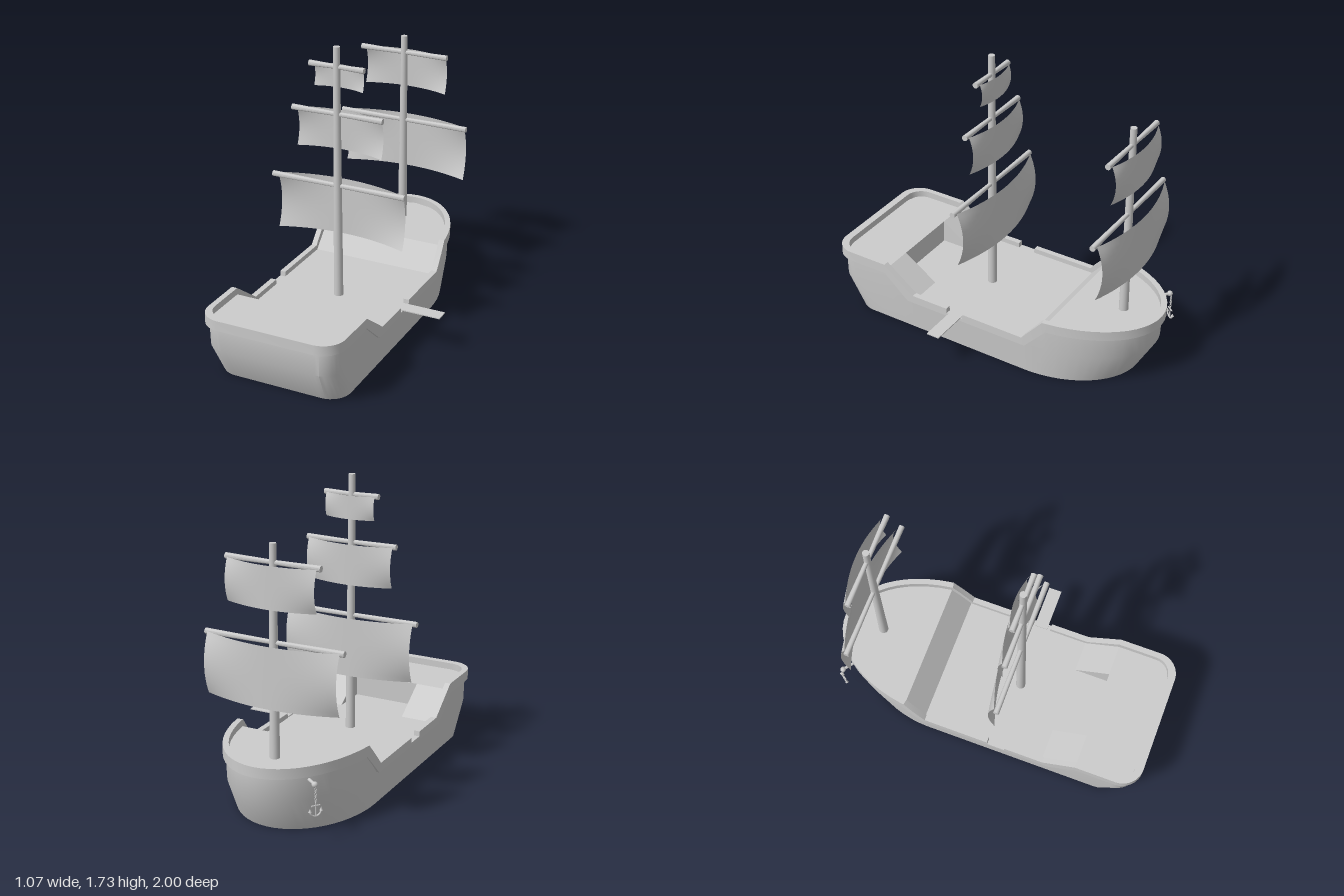
import * as THREE from 'three';
import { toCreasedNormals } from 'three/addons/utils/BufferGeometryUtils.js';

const MAT = new THREE.MeshStandardMaterial({ color: 0xcccccc, side: THREE.DoubleSide });
const CX = -0.1175; // keel line
const BOW_START = -0.33; // the bow curve begins here

function mesh(name, geometry, parent, x = 0, y = 0, z = 0) {
  const m = new THREE.Mesh(geometry, MAT);
  m.name = name;
  m.position.set(x, y, z);
  parent.add(m);
  return m;
}

// Piecewise linear lookup, clamped at the ends
function along(table, z) {
  if (z <= table[0][0]) return table[0][1];
  for (let i = 1; i < table.length; i++) {
    const [z0, y0] = table[i - 1], [z1, y1] = table[i];
    if (z <= z1) return y0 + (y1 - y0) * (z - z0) / (z1 - z0);
  }
  return table[table.length - 1][1];
}

// Surface through rows of equal length
function loft(rows, crease = 0.5) {
  const n = rows[0].length, index = [];
  for (let i = 0; i < rows.length - 1; i++) {
    for (let j = 0; j < n - 1; j++) {
      const a = i * n + j, b = a + n;
      index.push(a, a + 1, b + 1, a, b + 1, b);
    }
  }
  const g = new THREE.BufferGeometry();
  g.setAttribute('position', new THREE.Float32BufferAttribute(rows.flat(2), 3));
  g.setIndex(index);
  g.computeVertexNormals();
  return toCreasedNormals(g, crease);
}

// Plan outline of the hull: elliptical bow, straight sides, rounded stern corners
function outline({ w, bow, stern, r }) {
  const half = [];
  const phis = [0.01, 0.02, 0.13, 0.15].map(d => Math.asin(d / 0.67));
  for (let k = 0; k <= 14; k++) phis.push(Math.PI / 2 * k / 14);
  phis.sort((a, b) => b - a);
  for (const p of phis) half.push([w * Math.cos(p), BOW_START - (bow + BOW_START) * Math.sin(p)]);
  for (const z of [-0.1, 0.069, 0.071, 0.179, 0.181, 0.41, 0.42, 0.46, 0.62]) half.push([w, z]);
  for (let k = 0; k <= 8; k++) {
    const a = Math.PI / 2 * k / 8;
    half.push([w - r + r * Math.cos(a), stern - r + r * Math.sin(a)]);
  }
  return [...half, ...half.slice().reverse().map(([x, z]) => [-x, z])];
}

const INNER = { w: 0.388, bow: 0.965, stern: 0.955, r: 0.1 };
function innerHalf(z) {
  const { w, bow, stern, r } = INNER;
  if (z < BOW_START) return w * Math.sqrt(Math.max(0, 1 - ((z - BOW_START) / (bow + BOW_START)) ** 2));
  const d = z - (stern - r);
  return d > 0 ? w - r + Math.sqrt(Math.max(0, r * r - d * d)) : w;
}

function buildHull(g) {
  const rim = [[-0.46, 0.4], [-0.33, 0.25], [0.069, 0.25], [0.071, 0.22], [0.179, 0.22], [0.181, 0.25], [0.42, 0.25], [0.62, 0.4]];
  const strake = [[-0.48, 0.34], [-0.35, 0.2], [0.46, 0.2], [0.62, 0.34]];
  const deck = [[-0.46, 0.35], [-0.34, 0.21], [0.41, 0.21], [0.62, 0.35]];
  const base = outline({ w: 0.39, bow: 0.86, stern: 0.87, r: 0.12 });
  const waist = outline({ w: 0.406, bow: 0.97, stern: 0.97, r: 0.12 });
  const side = outline({ w: 0.41, bow: 0.975, stern: 0.97, r: 0.12 });
  const outer = outline({ w: 0.422, bow: 1, stern: 1, r: 0.13 });
  const inner = outline(INNER);
  const rows = outer.map(([, z], i) => {
    const at = (p, y) => [p[i][0], y, p[i][1]];
    const s = along(strake, z), t = along(rim, z);
    return [at(base, 0), at(waist, 0.199), at(side, s), at(outer, s), at(outer, t), at(inner, t), at(inner, along(deck, z))];
  });
  mesh('hull', loft(rows), g);
}

// Strip of planking between two stations, from xa(z) to xb(z)
function planking(name, g, z0, y0, z1, y1, xa, xb) {
  const rows = [], n = 20;
  for (let i = 0; i <= n; i++) {
    const t = i / n, z = z0 + (z1 - z0) * t, y = y0 + (y1 - y0) * t;
    rows.push([[xb(z), y, z], [xa(z), y, z]].reverse());
  }
  // rows run towards the stern, so reverse them to face up
  mesh(name, loft(rows.map(r => r.reverse())).scale(1, 1, 1), g);
}

function buildDecks(g) {
  const right = z => -innerHalf(z), left = innerHalf, LOW = 0.22, HIGH = 0.36, S = 0.203;
  planking('foredeck', g, -0.965, HIGH, -0.46, HIGH, left, right);
  planking('foredeckRamp', g, -0.46, HIGH, -0.34, LOW, left, right);
  planking('mainDeck', g, -0.34, LOW, 0.41, LOW, left, right);
  planking('mainDeckAft', g, 0.41, LOW, 0.62, LOW, () => S, () => -S);
  planking('sternDeck', g, 0.62, HIGH, 0.955, HIGH, left, right);
  planking('leftRamp', g, 0.41, LOW, 0.62, HIGH, left, () => S);
  planking('rightRamp', g, 0.41, LOW, 0.62, HIGH, () => -S, right);
  mesh('sternDeckWall', new THREE.PlaneGeometry(2 * S, HIGH - LOW).rotateY(Math.PI), g, 0, (HIGH + LOW) / 2, 0.62);
  // Triangular cheeks beside the ramps
  const cheek = new THREE.Shape([new THREE.Vector2(-0.41, LOW), new THREE.Vector2(-0.62, LOW), new THREE.Vector2(-0.62, HIGH)]);
  for (const x of [-S, S]) mesh('rampCheek', new THREE.ShapeGeometry(cheek).rotateY(Math.PI / 2), g, x, 0, 0);
}

// Square sail: bowed across its width, with hollow side edges
function sailGeometry(w, h) {
  const g = new THREE.PlaneGeometry(2 * w, h, 24, 12);
  const p = g.attributes.position;
  for (let i = 0; i < p.count; i++) {
    const u = p.getX(i) / w, v = 2 * p.getY(i) / h;
    p.setZ(i, -0.19 * w * (1 - u * u * (0.47 + 0.53 * v * v)));
  }
  g.computeVertexNormals();
  return g;
}

function buildMast(name, parent, z, bottom, top, sails) {
  const g = new THREE.Group();
  g.name = name;
  g.position.z = z;
  parent.add(g);
  mesh('pole', new THREE.CylinderGeometry(0.019, 0.028, top - bottom, 20), g, 0, (top + bottom) / 2, 0);
  for (const [yardY, yardHalf, sailHalf, sailTop, sailBottom] of sails) {
    const profile = [[0, -1], [0.017, -1], [0.0125, 0], [0.017, 1], [0, 1]].map(([r, t]) => new THREE.Vector2(r, t * yardHalf));
    const yard = toCreasedNormals(new THREE.LatheGeometry(profile, 14), 0.6).rotateZ(Math.PI / 2);
    mesh('yard', yard, g, 0, yardY, 0);
    mesh('sail', sailGeometry(sailHalf, sailTop - sailBottom), g, 0, (sailTop + sailBottom) / 2, -0.018);
  }
}

function buildAnchor(parent) {
  const g = new THREE.Group();
  g.name = 'anchor';
  g.position.set(-0.268, 0.325, -0.86);
  g.rotation.y = Math.atan2(-0.8, -0.6); // local +z points away from the hull
  parent.add(g);
  mesh('peg', new THREE.CylinderGeometry(0.009, 0.009, 0.08, 10).rotateX(Math.PI / 2), g, 0, 0, 0.03);
  mesh('pegKnob', new THREE.SphereGeometry(0.017, 12, 8), g, 0, 0, 0.06);
  for (let i = 0; i < 6; i++) {
    const link = mesh('chainLink', new THREE.TorusGeometry(0.007, 0.0025, 6, 10).scale(0.8, 1.2, 1), g, 0, -0.022 - i * 0.014, 0.07);
    link.rotation.y = i % 2 * Math.PI / 2;
  }
  mesh('shank', new THREE.CylinderGeometry(0.004, 0.005, 0.075, 8), g, 0, -0.135, 0.07);
  mesh('stock', new THREE.CylinderGeometry(0.004, 0.004, 0.05, 8).rotateZ(Math.PI / 2), g, 0, -0.115, 0.07);
  mesh('arms', new THREE.TorusGeometry(0.032, 0.005, 8, 16, Math.PI).rotateZ(Math.PI), g, 0, -0.142, 0.07);
  for (const s of [-1, 1]) mesh('fluke', new THREE.ConeGeometry(0.01, 0.02, 8), g, s * 0.032, -0.137, 0.07);
}

export function createModel() {
  const ship = new THREE.Group();
  ship.name = 'sailingShip';
  const g = new THREE.Group();
  g.name = 'ship';
  g.position.x = CX;
  ship.add(g);
  buildHull(g);
  buildDecks(g);
  // Each sail: yard height, yard half length, sail half width, sail top, sail bottom
  buildMast('mainMast', g, 0.13, 0.2, 1.73, [
    [0.91, 0.415, 0.395, 0.915, 0.57], [1.34, 0.28, 0.263, 1.34, 1.105], [1.615, 0.168, 0.15, 1.615, 1.48]]);
  buildMast('foreMast', g, -0.757, 0.34, 1.54, [
    [1.007, 0.415, 0.395, 1.012, 0.667], [1.438, 0.28, 0.263, 1.436, 1.202]]);
  // Boarding plank through the gap in the rail
  mesh('plank', new THREE.BoxGeometry(0.265, 0.006, 0.08), g, 0.52, 0.226, 0.12);
  buildAnchor(g);
  return ship;
}
